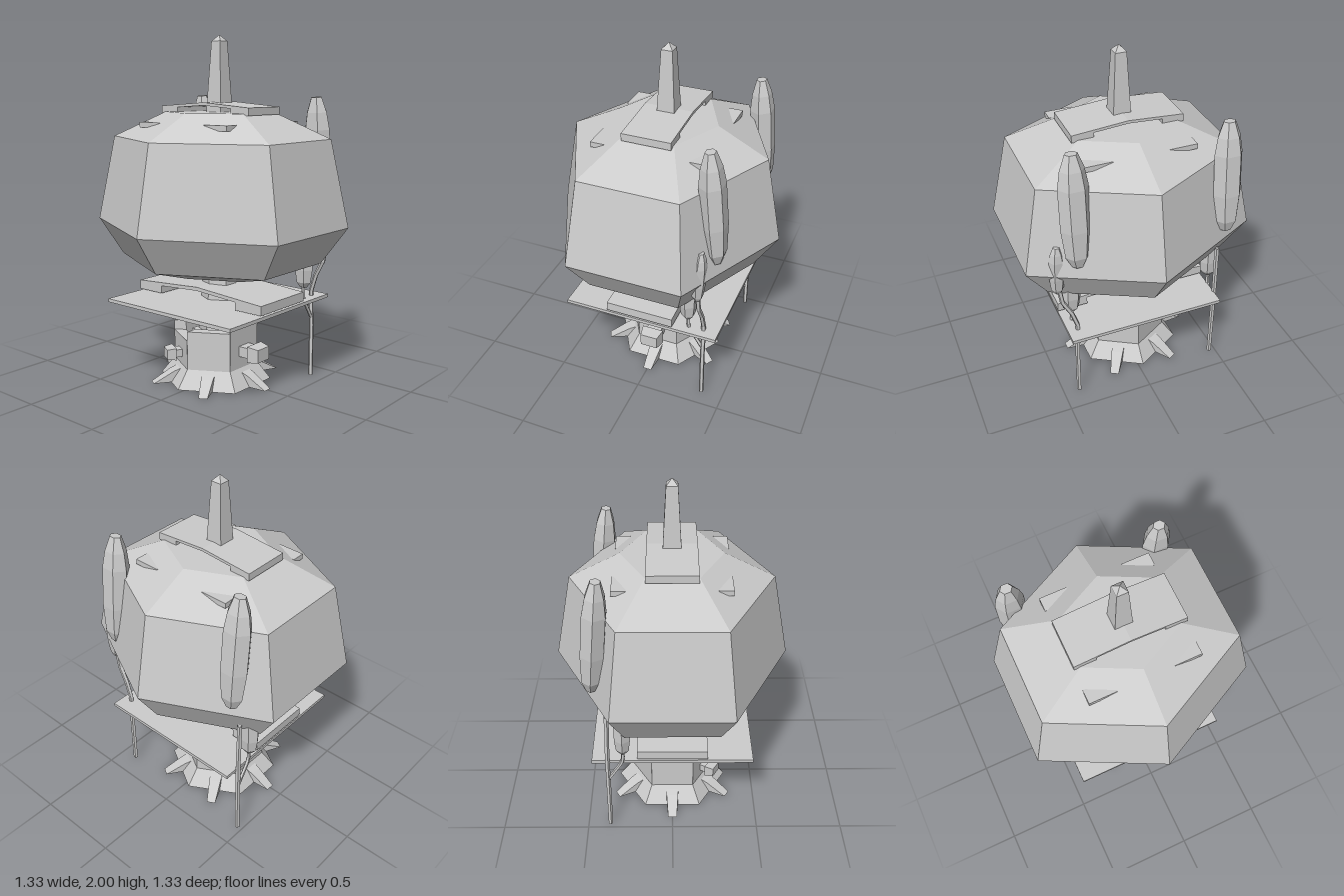
import * as THREE from 'three';

const mat = new THREE.MeshStandardMaterial({ color: 0xcccccc, flatShading: true, side: THREE.DoubleSide });

function add(parent, name, geo, x = 0, y = 0, z = 0) {
  const m = new THREE.Mesh(geo, mat);
  m.name = name;
  m.position.set(x, y, z);
  parent.add(m);
  return m;
}
const box = (w, h, d) => new THREE.BoxGeometry(w, h, d);

// Faceted solid of revolution from [radius, y] pairs, first corner on +z
const lathe = (pts, sides = 6) =>
  new THREE.LatheGeometry(pts.map(([r, y]) => new THREE.Vector2(r, y)), sides);

function extrude(pts, depth) {
  const shape = new THREE.Shape(pts.map(([x, y]) => new THREE.Vector2(x, y)));
  return new THREE.ExtrudeGeometry(shape, { depth, bevelEnabled: false });
}

// Shallow arched slab with two feet
function archSlab(s) {
  const pts = [[-0.46, 0], [-0.28, 0], [-0.28, 0.045], [0, 0.062], [0.28, 0.045], [0.28, 0],
    [0.46, 0], [0.46, 0.053], [0, 0.083], [-0.46, 0.053]];
  return extrude(pts.map(([x, y]) => [x * s, y * (s < 1 ? 0.8 : 1)]), 0.4 * s).translate(0, 0, -0.2 * s);
}

// Six-sided bud of unit height with its base at y = 0
function bud(r, h) {
  return lathe([[0, 0], [0.4, 0], [0.8, 0.1], [1, 0.35], [1, 0.72], [0.8, 0.87], [0.42, 1], [0, 1]]
    .map(([a, b]) => [a * r, b * h])).rotateY(Math.PI / 6).scale(1, 1, 0.85);
}

function branch(pts, r) {
  const curve = new THREE.CatmullRomCurve3(pts.map(p => new THREE.Vector3(...p)));
  return new THREE.TubeGeometry(curve, 8, r, 5);
}

export function createModel() {
  const model = new THREE.Group();
  model.name = 'hexagonalTower';

  // Main hexagonal bulb
  add(model, 'bulb', lathe([[0, 0.645], [0.27, 0.645], [0.53, 0.72], [0.665, 0.93], [0.57, 1.425],
    [0.285, 1.57], [0, 1.57]]).scale(1.1547, 1, 1));

  // Roof fins half sunk into the sloping roof
  for (const sx of [-1, 1]) for (const sz of [-1, 1])
    add(model, 'roofFin', box(0.16, 0.03, 0.08), sx * 0.24, 1.5, sz * 0.28);

  // Roof slab and spire
  add(model, 'roofSlab', archSlab(0.695), 0, 1.56, 0);
  add(model, 'spire', lathe([[0, 1.57], [0.075, 1.57], [0.045, 1.965], [0, 2]], 4).rotateY(Math.PI / 4));

  // Square deck and arched slab below the bulb
  add(model, 'deck', box(0.92, 0.02, 0.92), 0, 0.48, 0);
  add(model, 'deckSlab', archSlab(1), 0, 0.5, 0);

  // Column
  add(model, 'column', lathe([[0, 0.15], [0.12, 0.15], [0.116, 0.32], [0.087, 0.66], [0, 0.66]]).scale(1.1, 1, 1));
  add(model, 'columnPeg', box(0.03, 0.025, 0.1), -0.1, 0.415, -0.11);
  add(model, 'columnPeg', box(0.1, 0.025, 0.06), -0.08, 0.28, 0.07);

  // Footing: flared skirt, walls of differing height, root spikes
  const footing = new THREE.Group();
  footing.name = 'footing';
  footing.position.x = -0.03;
  model.add(footing);
  add(footing, 'skirt', lathe([[0, 0], [0.33, 0], [0.25, 0.1], [0.2, 0.1], [0.2, 0.2], [0, 0.2]]));
  [0.38, 0.325, 0.325, 0.325, 0.27, 0.325].forEach((h, i) => {
    const angle = i * Math.PI / 3;
    const wall = extrude([[0.217, -0.125], [0.217, 0.125], [0.155, 0.0895], [0.155, -0.0895]], h - 0.1);
    add(footing, 'wall', wall.rotateX(-Math.PI / 2).rotateY(angle), 0, 0.1, 0);

    const spike = extrude([[0.2, 0], [0.39, 0], [0.27, 0.065], [0.2, 0.09]], 1).translate(0, 0, -0.5);
    const p = spike.attributes.position;
    for (let k = 0; k < p.count; k++) p.setZ(k, p.getZ(k) * (0.11 - 0.15 * p.getX(k)));
    add(footing, 'rootSpike', spike.rotateY(angle));
  });

  // Spouts on two walls: narrow neck and wider bevelled head
  for (const [i, y, s, end] of [[0, 0.203, 1, 0.36], [4, 0.17, 0.75, 0.31]]) {
    const spout = new THREE.Group();
    spout.name = 'spout';
    spout.rotation.y = i * Math.PI / 3;
    spout.position.y = y;
    footing.add(spout);
    add(spout, 'spoutNeck', box(end - 0.2, 0.06 * s, 0.09 * s), (end + 0.16) / 2, 0, 0);
    const head = new THREE.CylinderGeometry(0.8 * Math.SQRT1_2, Math.SQRT1_2, 0.07 * s, 4)
      .rotateY(Math.PI / 4).rotateZ(-Math.PI / 2).scale(1, 0.095 * s, 0.13 * s);
    add(spout, 'spoutHead', head, end - 0.035 * s, 0, 0);
  }

  // Climbing plants behind: stalk, side branch and buds
  for (const x of [-0.465, 0.405]) {
    const plant = new THREE.Group();
    plant.name = 'climbingPlant';
    plant.position.x = x;
    model.add(plant);
    const lean = x > 0 ? 0.08 : 0;
    add(plant, 'stalk', branch([[0, 0, -0.37], [0, 0.3, -0.37], [0, 0.55, -0.37], [lean, 0.72, -0.365],
      [lean * 1.15, 0.81, -0.365]], 0.014));
    add(plant, 'sideBranch', branch([[0, 0.36, -0.365], [0, 0.43, -0.32], [0, 0.49, -0.285], [0, 0.58, -0.28]], 0.011));
    add(plant, 'lowerBud', bud(0.06, 0.3), 0, 0.56, -0.28);
    if (x > 0) add(plant, 'middleBud', bud(0.045, 0.32), 0.1, 0.79, -0.365).rotation.x = -0.05;
    add(plant, 'tallBud', bud(0.083, 0.655), 0, 1.0, -0.435).rotation.x = 0.085;
  }
  return model;
}
